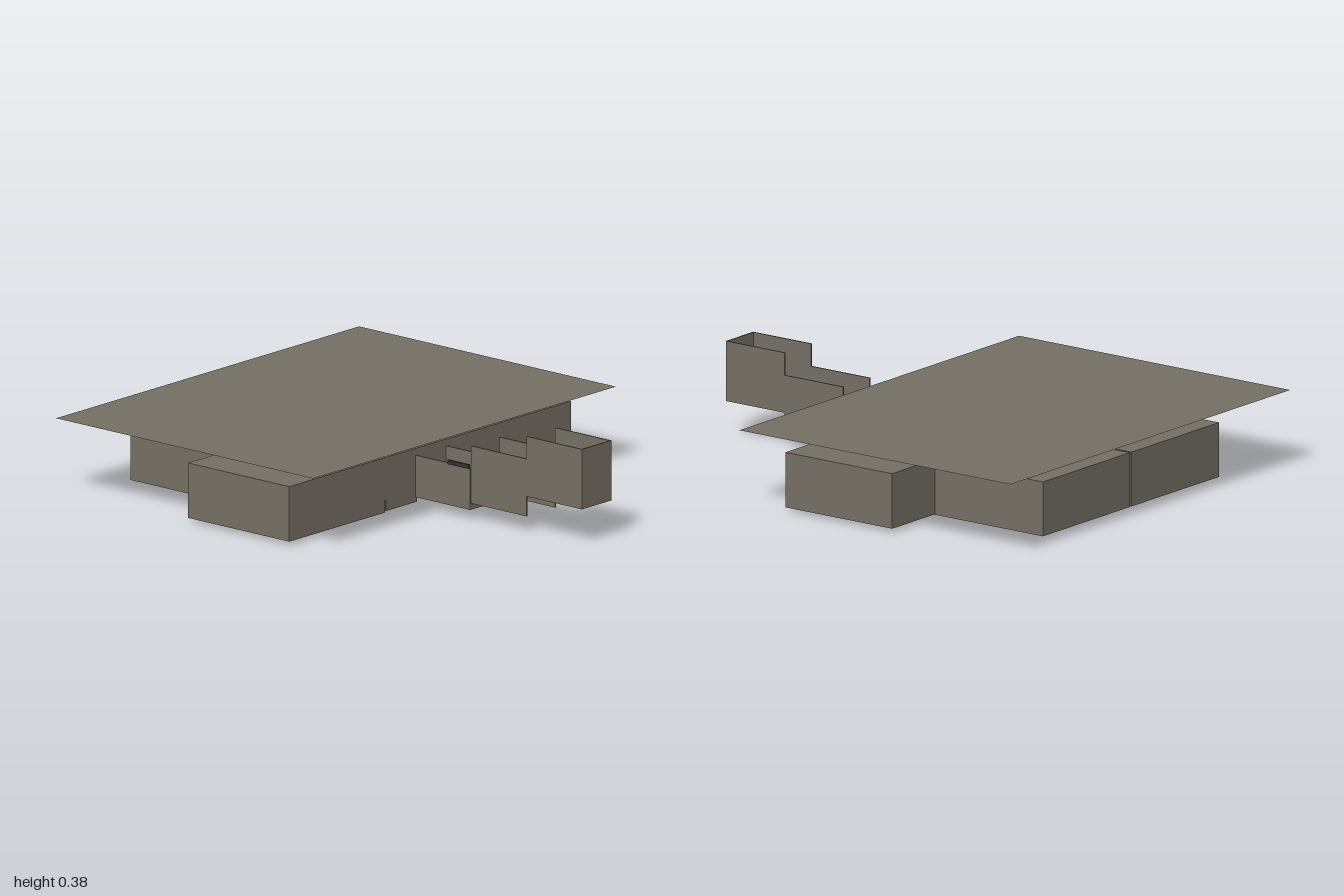
import * as THREE from 'three';

export function createModel() {
  const model = new THREE.Group();
  const stone = new THREE.MeshStandardMaterial({ color: 0x757065, side: THREE.DoubleSide });
  stone.name = 'stone';
  const dark = new THREE.MeshStandardMaterial({ color: 0x333230, side: THREE.DoubleSide });
  dark.name = 'darkMetal';

  // Box given by its lower and upper bounds on each axis
  function box(name, x0, x1, y0, y1, z0, z1, mat = stone, parent = model) {
    const mesh = new THREE.Mesh(new THREE.BoxGeometry(x1 - x0, y1 - y0, z1 - z0), mat);
    mesh.position.set((x0 + x1) / 2, (y0 + y1) / 2, (z0 + z1) / 2);
    mesh.name = name;
    parent.add(mesh);
    return mesh;
  }

  // Wide flat ground sheet above the rooms
  const sheet = new THREE.Mesh(new THREE.PlaneGeometry(1.32, 1.77), stone);
  sheet.rotation.x = -Math.PI / 2;
  sheet.position.set(-0.34, 0.31, 0);
  sheet.name = 'groundSheet';
  model.add(sheet);

  // Rooms: solid upper body, with a thin skirt that leaves the floor recessed
  function room(name, x0, x1, z0, z1, top) {
    const g = new THREE.Group();
    g.name = name;
    const t = 0.008, low = 0.015, floor = 0.05;
    box('roomBody', x0, x1, floor, top, z0, z1, stone, g);
    box('skirtRight', x0, x0 + t, low, floor, z0, z1, stone, g);
    box('skirtLeft', x1 - t, x1, low, floor, z0, z1, stone, g);
    box('skirtBack', x0, x1, low, floor, z0, z0 + t, stone, g);
    box('skirtFront', x0, x1, low, floor, z1 - t, z1, stone, g);
    model.add(g);
  }
  room('frontRoom', -0.37, 0.15, 0.27, 0.83, 0.235);
  room('backRoom', -0.37, 0.15, -0.815, -0.265, 0.235);
  room('sideRoomFront', -0.9, -0.375, 0.01, 0.565, 0.232);
  room('sideRoomBack', -0.9, -0.375, -0.55, 0, 0.232);

  // Central hall with a dark floor
  box('hallBody', -0.37, 0.15, 0.065, 0.235, -0.265, 0.27);
  box('hallFloor', -0.3, 0.08, 0.058, 0.066, -0.21, 0.21, dark);
  for (const s of [-1, 1]) {
    box('hallEdge', -0.37, 0.15, 0.03, 0.065, s * 0.24 - 0.015, s * 0.24 + 0.015);
    box('doorCheek', 0.14, 0.15, 0.02, 0.065, s * 0.175 - 0.09, s * 0.175 + 0.09);
    // Pins on the roof
    for (const x of [-0.26, 0.045])
      box('roofPin', x - 0.003, x + 0.003, 0.23, 0.28, s * 0.153 - 0.003, s * 0.153 + 0.003, dark);
  }

  // Small feet around the hall
  for (const x of [-0.265, -0.125]) {
    for (const z of [-0.24, 0.27])
      box('foot', x - 0.02, x + 0.02, 0, 0.04, z - 0.012, z + 0.012);
  }
  for (const z of [-0.24, -0.09, 0.1]) {
    box('sideFoot', -0.385, -0.365, 0.004, 0.04, z - 0.018, z + 0.018);
    box('innerFoot', 0.038, 0.05, 0.008, 0.06, z - 0.015, z + 0.015, dark);
  }

  // Corridor walls, stepping upward away from the hall
  const segments = [
    [0.15, 0.43, 0.04, 0.208],
    [0.43, 0.715, 0.065, 0.295],
    [0.715, 1, 0.145, 0.385],
  ];
  for (const s of [-1, 1]) {
    for (const [x0, x1, y0, y1] of segments) {
      const z = s * (x0 < 0.4 ? 0.09 : 0.084);
      box('corridorWall', x0, x1, y0, y1, z - 0.003, z + 0.003);
    }
    box('corridorRail', 0.32, 0.43, 0.205, 0.222, s * 0.096 - 0.004, s * 0.096 + 0.004, dark);
  }
  box('corridorEndWall', 0.994, 1, 0.145, 0.385, -0.087, 0.087);
  box('corridorSill', 0.425, 0.431, 0.04, 0.07, -0.087, 0.087);

  // Curved ramp running up between the walls
  const ramp = new THREE.Shape();
  ramp.moveTo(0.15, 0.05);
  ramp.lineTo(0.43, 0.062);
  ramp.bezierCurveTo(0.58, 0.065, 0.62, 0.15, 0.78, 0.155);
  ramp.lineTo(0.91, 0.158);
  ramp.lineTo(0.91, 0.166);
  ramp.lineTo(0.78, 0.163);
  ramp.bezierCurveTo(0.62, 0.158, 0.58, 0.073, 0.43, 0.07);
  ramp.lineTo(0.15, 0.058);
  const rampGeo = new THREE.ExtrudeGeometry(ramp, { depth: 0.164, bevelEnabled: false, curveSegments: 8 });
  const rampMesh = new THREE.Mesh(rampGeo, stone);
  rampMesh.position.z = -0.082;
  rampMesh.name = 'corridorRamp';
  model.add(rampMesh);
  box('corridorLanding', 0.91, 0.995, 0.148, 0.156, -0.082, 0.082);

  return model;
}
